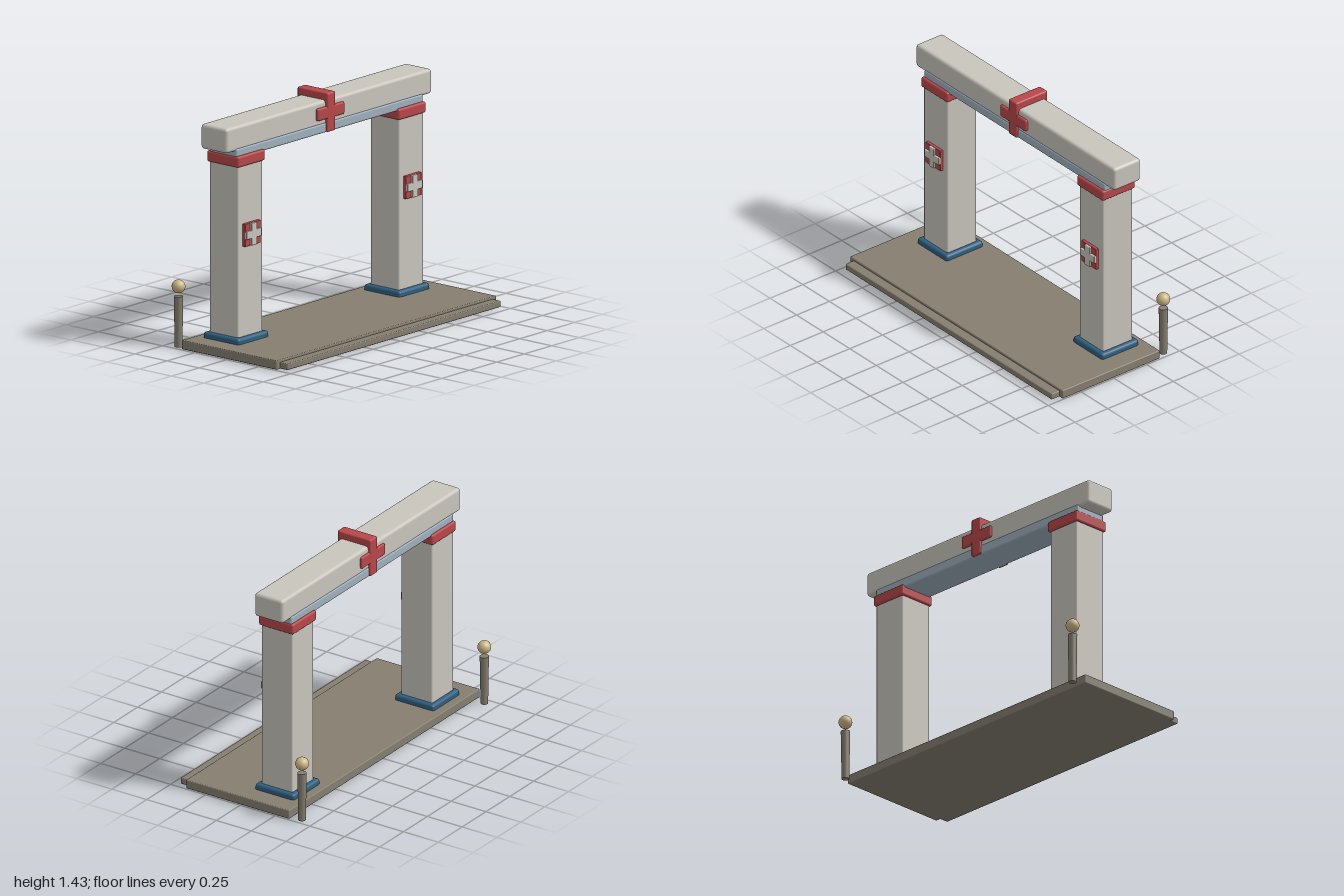
import * as THREE from 'three';
import { RoundedBoxGeometry } from 'three/addons/geometries/RoundedBoxGeometry.js';

const mat = (color) => new THREE.MeshStandardMaterial({ color });

export function createModel() {
  const root = new THREE.Group();
  const stone = mat(0xc9c5bd), floor = mat(0x857e70), red = mat(0xb8474a);
  const blue = mat(0x2f5f80), steel = mat(0x9fb0bd), gold = mat(0xcdb788);

  // Softly bevelled box given by its extents on each axis
  function box(parent, name, material, [x0, x1], [y0, y1], [z0, z1], bevel = 0.01) {
    const geo = new RoundedBoxGeometry(x1 - x0, y1 - y0, z1 - z0, 2, bevel);
    const mesh = new THREE.Mesh(geo, material);
    mesh.position.set((x0 + x1) / 2, (y0 + y1) / 2, (z0 + z1) / 2);
    mesh.name = name;
    parent.add(mesh);
    return mesh;
  }

  // Floor slab with a low front step
  box(root, 'floorSlab', floor, [-1, 1], [0.004, 0.06], [-0.35, 0.39], 0.006);
  box(root, 'frontStep', floor, [-0.97, 0.97], [0.006, 0.045], [0.3, 0.45], 0.006);

  // Crossbeam resting on a thin lintel
  box(root, 'lintel', steel, [-0.85, 0.85], [1.19, 1.25], [-0.265, -0.05], 0.012);
  box(root, 'crossbeam', stone, [-0.935, 0.935], [1.235, 1.387], [-0.26, -0.055], 0.02);

  // Red cross wrapped around the middle of the beam
  const cross = new THREE.Group();
  cross.name = 'beamCross';
  box(cross, 'crossUpright', red, [-0.037, 0.037], [1.193, 1.432], [-0.276, -0.036], 0.01);
  box(cross, 'crossArm', red, [-0.122, 0.122], [1.275, 1.35], [-0.274, -0.038], 0.01);
  root.add(cross);

  for (const side of [-1, 1]) {
    const label = side > 0 ? 'left' : 'right';

    // Pillar with chamfered foot and cap
    const pillar = new THREE.Group();
    pillar.name = label + 'Pillar';
    pillar.position.x = side * 0.732;
    box(pillar, 'shaft', stone, [-0.112, 0.112], [0.06, 1.16], [-0.268, -0.044], 0.01);
    box(pillar, 'foot', blue, [-0.14, 0.14], [0.04, 0.095], [-0.296, -0.016], 0.016);
    box(pillar, 'cap', red, [-0.124, 0.124], [1.138, 1.205], [-0.28, -0.032], 0.012);

    // Front badge: red plate with a pale cross
    box(pillar, 'badgePlate', red, [-0.07, 0.07], [0.645, 0.785], [-0.06, -0.024], 0.004);
    box(pillar, 'badgeCrossUpright', stone, [-0.025, 0.025], [0.647, 0.783], [-0.045, -0.011], 0.005);
    box(pillar, 'badgeCrossArm', stone, [-0.069, 0.069], [0.69, 0.74], [-0.045, -0.012], 0.005);
    root.add(pillar);

    // Bollard behind the slab with a ball above it
    const bollard = new THREE.Group();
    bollard.name = label + 'Bollard';
    bollard.position.set(side * 0.955, 0, -0.413);
    const post = new THREE.Mesh(new THREE.CylinderGeometry(0.028, 0.023, 0.31, 16), floor);
    post.name = 'post';
    post.position.y = 0.155;
    const ball = new THREE.Mesh(new THREE.SphereGeometry(0.041, 20, 14), gold);
    ball.name = 'ball';
    ball.position.y = 0.37;
    bollard.add(post, ball);
    root.add(bollard);
  }

  return root;
}
